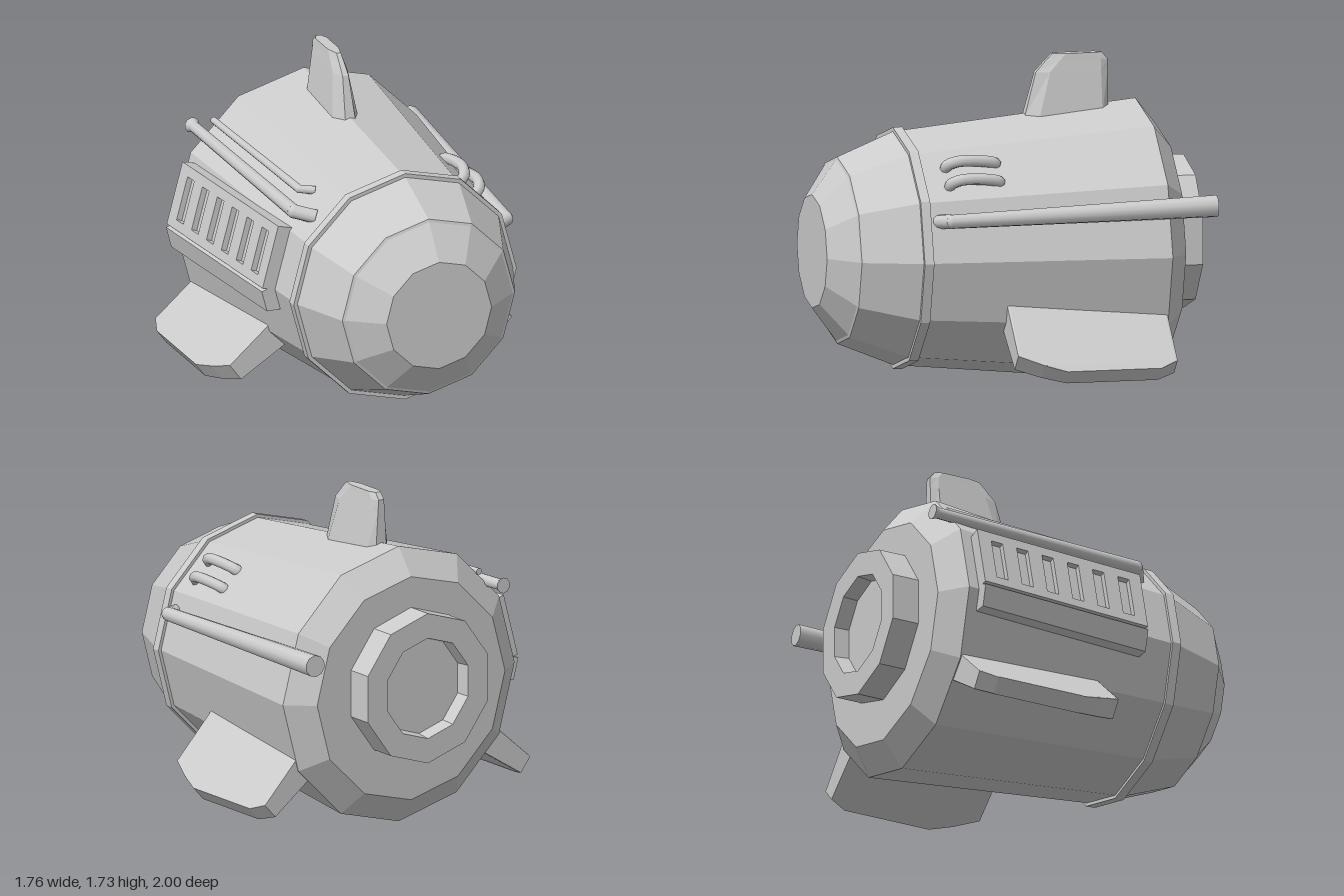
import * as THREE from 'three';

const CX = -0.013, CY = 0.745; // hull axis
const flat = new THREE.MeshStandardMaterial({ color: 0xcccccc, flatShading: true });
const smooth = new THREE.MeshStandardMaterial({ color: 0xcccccc });
const V = (x, y, z) => new THREE.Vector3(x, y, z);

function add(parent, name, geometry, material = flat) {
  const mesh = new THREE.Mesh(geometry, material);
  mesh.name = name;
  parent.add(mesh);
  return mesh;
}

// Faceted solid of revolution about z; profile is [radius, z] from back to front
function turned(profile, sides, y = CY) {
  return new THREE.LatheGeometry(profile.map(([r, z]) => new THREE.Vector2(r, z)), sides)
    .rotateX(Math.PI / 2).translate(CX, y, 0);
}

// Tapered rod between two points
function rod(a, b, ra, rb, sides = 10) {
  const dir = b.clone().sub(a);
  const q = new THREE.Quaternion().setFromUnitVectors(V(0, 1, 0), dir.clone().normalize());
  const mid = a.clone().add(b).multiplyScalar(0.5);
  return new THREE.CylinderGeometry(rb, ra, dir.length(), sides).applyQuaternion(q).translate(mid.x, mid.y, mid.z);
}

// Pipe: short elbow out of the hull, round joint, long tapered run to the back
function pipe(parent, name, root, bend, end, r0, r1) {
  const g = new THREE.Group();
  g.name = name;
  add(g, 'elbow', rod(root, bend, r0, r0), smooth);
  add(g, 'joint', new THREE.SphereGeometry(r0, 10, 8).translate(bend.x, bend.y, bend.z), smooth);
  add(g, 'run', rod(bend, end, r0, r1), smooth);
  parent.add(g);
  return g;
}

// Fin growing along +y; sections are [height, zFront, zBack, halfThickness]
function finGeometry(sections, frontEdge, backEdge, chamferF, chamferB) {
  const pos = [], idx = [], n = 8;
  for (const [y, f, b, t] of sections) {
    const ring = [[-t * frontEdge, f], [t * frontEdge, f], [t, f - chamferF], [t, b + chamferB],
      [t * backEdge, b], [-t * backEdge, b], [-t, b + chamferB], [-t, f - chamferF]];
    for (const [x, z] of ring) pos.push(x, y, z);
  }
  for (let s = 0; s < sections.length - 1; s++)
    for (let i = 0; i < n; i++) {
      const a = s * n + i, b = s * n + (i + 1) % n;
      idx.push(a, b, b + n, a, b + n, a + n);
    }
  const top = (sections.length - 1) * n;
  for (let i = 1; i < n - 1; i++) idx.push(top, top + i, top + i + 1);
  const geo = new THREE.BufferGeometry();
  geo.setAttribute('position', new THREE.Float32BufferAttribute(pos, 3));
  geo.setIndex(idx);
  geo.computeVertexNormals();
  return geo;
}

// Bent side panel with six recessed slots, following the hull taper
function ventPanel(parent) {
  const g = new THREE.Group();
  g.name = 'ventPanel';
  const a = Math.PI / 12, slope = 0.096, zMid = -0.175, half = 0.505;
  const t = V(Math.sin(a), Math.cos(a), 0), n = V(-Math.cos(a), Math.sin(a), 0);
  const at = (v, w) => new THREE.Vector2(t.x * v + n.x * w, t.y * v + n.y * w);
  const place = new THREE.Matrix4().makeBasis(V(slope, 0, 1), V(0, 1, 0), V(-1, 0, 0))
    .setPosition(CX - 0.686, CY, zMid);

  // backing with the short lower flange
  const section = new THREE.Shape([at(0.345, 0.04), at(0, 0.04), new THREE.Vector2(-0.073, 0),
    new THREE.Vector2(-0.043, -0.115), new THREE.Vector2(0.12, -0.115), new THREE.Vector2(0.05, 0), at(0.345, -0.05)]);
  const shear = new THREE.Matrix4().makeBasis(V(1, 0, 0), V(0, 1, 0), V(slope, 0, 1))
    .setPosition(CX - 0.686, CY, zMid);
  add(g, 'panelBacking', new THREE.ExtrudeGeometry(section, { depth: half * 2, bevelEnabled: false })
    .translate(0, 0, -half).applyMatrix4(shear));

  // slotted face
  const rect = (Type, x0, y0, x1, y1) => new Type([[x0, y0], [x1, y0], [x1, y1], [x0, y1]]
    .map(p => new THREE.Vector2(...p)));
  const face = rect(THREE.Shape, -half, 0, half, 0.345);
  for (let i = 0; i < 6; i++) {
    const u = -0.39 + i * 0.157;
    face.holes.push(rect(THREE.Path, u - 0.035, 0.05, u + 0.035, 0.29));
  }
  place.makeBasis(V(slope, 0, 1), t, n).setPosition(CX - 0.686, CY, zMid);
  add(g, 'slottedFace', new THREE.ExtrudeGeometry(face, { depth: 0.033, bevelEnabled: false })
    .translate(0, 0, 0.038).applyMatrix4(place));
  parent.add(g);
}

export function createModel() {
  const model = new THREE.Group();
  model.name = 'pod';

  // Hull, collar, nose and rear nozzle
  add(model, 'hull', turned([[0, -0.85], [0.6, -0.85], [0.74, -0.74], [0.615, 0.54], [0, 0.54]], 12));
  add(model, 'collar', turned([[0.58, 0.515], [0.635, 0.515], [0.633, 0.565], [0.58, 0.565]], 12));
  add(model, 'nose', turned([[0.612, 0.54], [0.612, 0.565], [0.49, 0.865], [0.475, 0.87], [0.298, 1], [0, 1]], 12));
  add(model, 'nozzle', turned([[0, -0.92], [0.26, -0.92], [0.27, -1], [0.403, -1], [0.403, -0.8]], 10, 0.777));

  // Fins
  const topFin = finGeometry([[1.33, -0.12, -0.585, 0.078], [1.42, -0.14, -0.585, 0.07], [1.64, -0.2, -0.585, 0.042],
    [1.7, -0.255, -0.585, 0.034], [1.735, -0.29, -0.555, 0.03]], 0.4, 0.5, 0.07, 0.04);
  add(model, 'topFin', topFin).position.x = CX;
  const sideFin = finGeometry([[-0.12, 0.11, -0.735, 0.095], [0, 0.11, -0.735, 0.08], [0.28, 0.11, -0.735, 0.057],
    [0.345, -0.02, -0.735, 0.052], [0.39, -0.14, -0.64, 0.047]], 0.95, 0.95, 0.01, 0.01);
  for (const [name, x, y, deg] of [['leftFin', 0.55, 0.42, -132.5], ['rightFin', -0.55, 0.385, 126.5]]) {
    const fin = add(model, name, sideFin);
    fin.position.set(x, y, 0);
    fin.rotation.z = THREE.MathUtils.degToRad(deg);
  }

  // Exhaust pipes
  pipe(model, 'leftExhaust', V(0.53, 0.955, 0.47), V(0.625, 0.965, 0.42), V(0.695, 1.005, -0.985), 0.037, 0.058);
  const upper = pipe(model, 'rightExhaust', V(-0.45, 1.15, 0.41), V(-0.55, 1.175, 0.35), V(-0.59, 1.21, -0.86), 0.037, 0.03);
  add(upper, 'flange', rod(V(-0.589, 1.209, -0.84), V(-0.59, 1.21, -0.87), 0.03, 0.042), smooth);
  pipe(model, 'rightThinPipe', V(-0.39, 1.235, 0.265), V(-0.465, 1.24, 0.225), V(-0.52, 1.27, -0.75), 0.022, 0.018);

  // Pair of grab handles on the left shoulder
  for (const [x, y] of [[0.41, 1.24], [0.495, 1.155]]) {
    const path = new THREE.CatmullRomCurve3([[0.39, -0.045], [0.385, -0.015], [0.33, 0.012], [0.18, 0.005],
      [0.125, -0.015], [0.12, -0.045]].map(([z, d]) => V(x + d * 0.8, y + d * 0.8, z)));
    add(model, 'handle', new THREE.TubeGeometry(path, 20, 0.03, 8), smooth);
  }

  ventPanel(model);
  return model;
}
